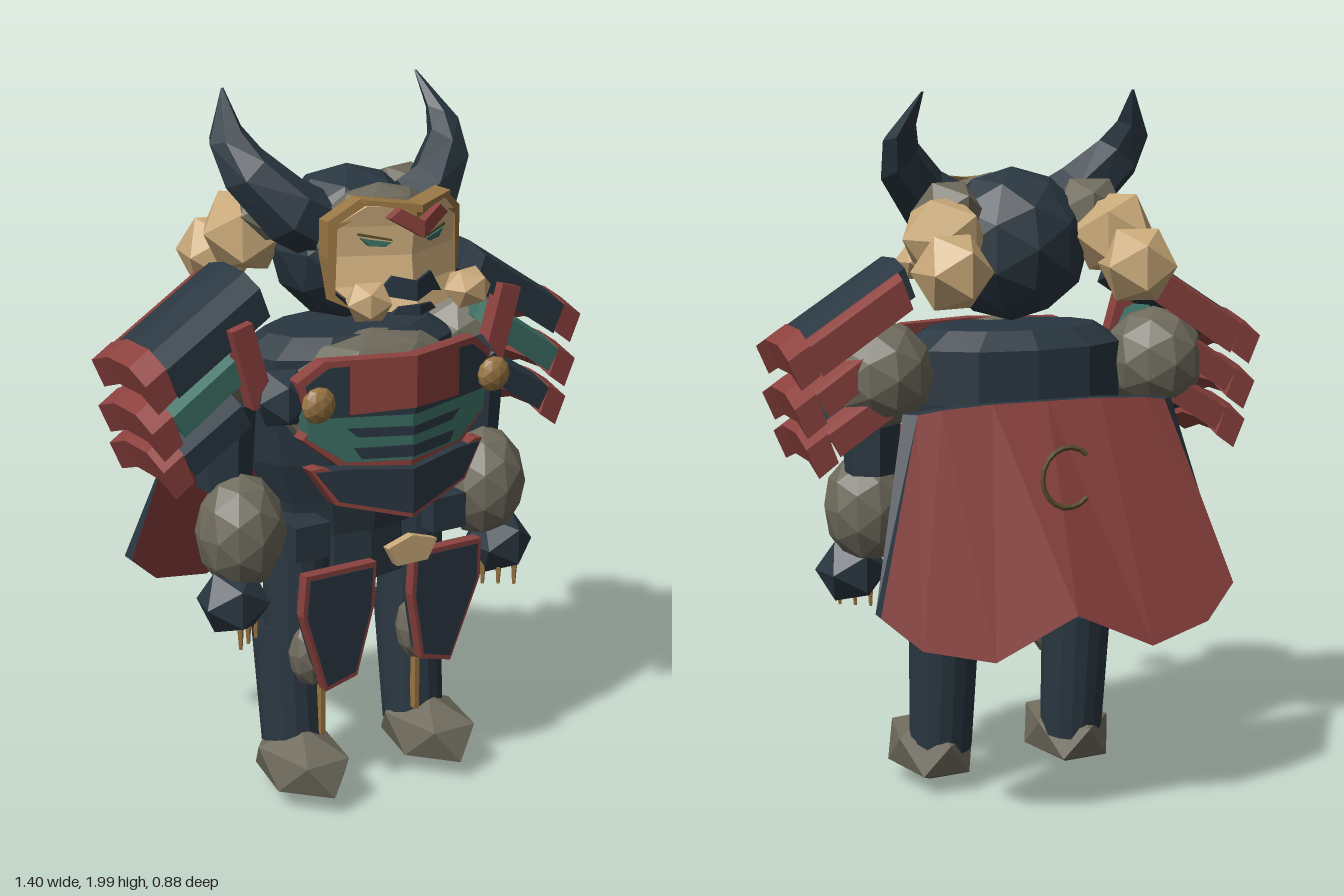
import * as THREE from 'three';

const mat = (name, color) => {
  const m = new THREE.MeshStandardMaterial({ color });
  m.name = name;
  return m;
};

// Makes a closed solid flat-shaded with its faces turned outward
function solid(geo) {
  const g = geo.index ? geo.toNonIndexed() : geo;
  g.deleteAttribute('uv');
  const p = g.attributes.position;
  const a = new THREE.Vector3(), b = new THREE.Vector3(), c = new THREE.Vector3();
  let volume = 0;
  for (let i = 0; i < p.count; i += 3) {
    a.fromBufferAttribute(p, i); b.fromBufferAttribute(p, i + 1); c.fromBufferAttribute(p, i + 2);
    volume += a.dot(b.cross(c));
  }
  if (volume < 0) {
    for (let i = 0; i < p.count; i += 3) {
      b.fromBufferAttribute(p, i + 1); c.fromBufferAttribute(p, i + 2);
      p.setXYZ(i + 1, c.x, c.y, c.z); p.setXYZ(i + 2, b.x, b.y, b.z);
    }
  }
  g.computeVertexNormals();
  return g;
}

// Joins equal-sided cross-sections; group 0 = even sides, group 1 = odd sides and ends
function loft(rings) {
  const n = rings[0].length, pos = [[], []];
  const tri = (k, ...v) => v.forEach(q => pos[k].push(...q));
  for (let i = 0; i + 1 < rings.length; i++) for (let j = 0; j < n; j++) {
    const r = rings[i], s = rings[i + 1], k = (j + 1) % n;
    tri(j % 2, r[j], r[k], s[k]);
    tri(j % 2, r[j], s[k], s[j]);
  }
  const first = rings[0], last = rings[rings.length - 1];
  for (let j = 1; j + 1 < n; j++) {
    tri(1, first[0], first[j + 1], first[j]);
    tri(1, last[0], last[j], last[j + 1]);
  }
  const g = new THREE.BufferGeometry();
  g.setAttribute('position', new THREE.Float32BufferAttribute([...pos[0], ...pos[1]], 3));
  g.addGroup(0, pos[0].length / 3, 0);
  g.addGroup(pos[0].length / 3, pos[1].length / 3, 1);
  return solid(g);
}

// Extruded outline swept back by slope * x and leaned by tilt * y; z is its front
function plate(points, z, depth, slope = 0, tilt = 0) {
  const shape = new THREE.Shape(points.map(q => new THREE.Vector2(...q)));
  const g = new THREE.ExtrudeGeometry(shape, { depth, bevelEnabled: false });
  g.clearGroups();
  const p = g.attributes.position;
  for (let i = 0; i < p.count; i++) {
    p.setZ(i, p.getZ(i) + z - depth - slope * p.getX(i) + tilt * p.getY(i));
  }
  return solid(g);
}

// Faceted ball; tip = -0.5536 stands it on a corner
const lump = (x, y, z, rx, ry, rz, detail = 0, turn = 0, tip = 0) => {
  const g = new THREE.IcosahedronGeometry(1, detail).rotateZ(tip);
  return solid(g.rotateY(turn).scale(rx, ry, rz).translate(x, y, z));
};
const box = (w, h, d, x, y, z, tilt = 0, lean = 0) =>
  solid(new THREE.BoxGeometry(w, h, d).rotateZ(tilt).rotateX(lean).translate(x, y, z));
const tube = (rt, rb, h, x, y, z, sides = 10, lean = 0) =>
  solid(new THREE.CylinderGeometry(rt, rb, h, sides).rotateX(lean).translate(x, y, z));

export function createModel() {
  const model = new THREE.Group();
  const dark = mat('dark armour', 0x2a3741), red = mat('red trim', 0x8c423e);
  const tan = mat('pale tan', 0xcaaa7a), gold = mat('old gold', 0x987543);
  const grey = mat('stone grey', 0x6e6a5c), green = mat('green lacquer', 0x3b6f63);
  const olive = mat('olive bronze', 0x5b4d2d), face = mat('mask tan', 0xd8b583);

  const add = (name, geo, material) => {
    const m = new THREE.Mesh(geo, material);
    m.name = name;
    model.add(m);
  };
  const both = (name, geo, material) => {
    add(name + 'Left', geo, material);
    const g = geo.clone().scale(-1, 1, 1);
    add(name + 'Right', solid(g), material);
  };

  // Head and helmet
  add('helmet', lump(0, 1.575, 0.03, 0.22, 0.215, 0.2, 1), dark);
  add('head', lump(0, 1.61, 0.19, 0.19, 0.155, 0.125, 1), grey);
  const horn = [[0.14, 1.65, 0.1, 0.095], [0.23, 1.70, 0.1, 0.09], [0.325, 1.81, 0.04, 0.072],
    [0.345, 1.89, -0.02, 0.052], [0.308, 2.0, -0.1, 0.004]];
  both('horn', loft(horn.map(([x, y, z, r], i) => Array.from({ length: 6 }, (_, j) => {
    const a = j / 6 * Math.PI * 2, t = 0.25 + i * 0.3;
    return [x - Math.cos(a) * r * Math.sin(t), y + Math.cos(a) * r * Math.cos(t), z + Math.sin(a) * r];
  }))), dark);

  // Hair bunches behind the horns
  both('hairRoot', lump(0.21, 1.67, -0.03, 0.105, 0.1, 0.11, 0, 0.3), grey);
  both('hairMiddle', lump(0.25, 1.61, -0.1, 0.12, 0.125, 0.14, 0, 0.6), tan);
  both('hairEnd', lump(0.27, 1.53, -0.22, 0.11, 0.115, 0.125, 0, 0.2), tan);

  // Mask, hollowed between brow and chin: height, half width and middle depth of each row
  const maskRows = [[1.735, 0.12, 0.375], [1.68, 0.195, 0.36], [1.6, 0.2, 0.35], [1.52, 0.195, 0.36],
    [1.455, 0.13, 0.385]];
  add('mask', loft(maskRows.map(([y, w, z]) => {
    const side = z - 0.45 * w, t = 0.025;
    return [[0, y, z], [w, y, side], [w, y, side - t], [0, y, z - t], [-w, y, side - t], [-w, y, side]];
  })), face);
  both('headband', plate([[0, 1.7], [0.11, 1.72], [0.185, 1.675], [0.19, 1.5], [0.15, 1.46], [0.19, 1.48],
    [0.207, 1.6], [0.207, 1.695], [0.13, 1.755], [0, 1.74]], 0.372, 0.045, 0.5), gold);
  both('browPeak', plate([[0, 1.72], [0.13, 1.745], [0.13, 1.755], [0, 1.74]], 0.4, 0.06, 0.5), gold);
  both('browMark', plate([[0, 1.655], [0.09, 1.71], [0.06, 1.735], [0, 1.7]], 0.41, 0.025, 0.3), red);
  both('eye', plate([[0.055, 1.636], [0.1, 1.643], [0.13, 1.65], [0.11, 1.628], [0.07, 1.625]],
    0.364, 0.009, 0.45), green);
  both('eyelid', plate([[0.055, 1.64], [0.135, 1.656], [0.135, 1.663], [0.055, 1.645]], 0.366, 0.009, 0.45), olive);
  both('moustache', plate([[0, 1.535], [0.06, 1.55], [0.11, 1.485], [0.07, 1.495], [0, 1.48]],
    0.379, 0.009, 0.45), dark);
  both('chinGuard', plate([[0, 1.475], [0.05, 1.47], [0.07, 1.45], [0, 1.445]], 0.394, 0.009, 0.45), dark);
  both('jawTuft', lump(0.155, 1.5, 0.385, 0.07, 0.06, 0.06, 0, 0.4), tan);

  // Torso
  const torso = [[0, 0.78], [0.24, 0.78], [0.265, 0.88], [0.31, 1.0], [0.33, 1.15], [0.33, 1.3], [0.25, 1.35],
    [0, 1.35]].map(q => new THREE.Vector2(...q));
  add('torso', solid(new THREE.LatheGeometry(torso, 12).scale(1, 1, 0.6).translate(0, 0, 0.03)), dark);
  add('skirt', solid(new THREE.CylinderGeometry(0.21, 0.22, 0.5, 12).scale(1, 1, 0.75)
    .translate(0, 0.88, 0)), dark);
  add('chest', lump(0, 1.18, 0.16, 0.3, 0.18, 0.165, 1), grey);
  both('chestSide', lump(0.31, 1.22, 0.2, 0.08, 0.09, 0.09, 0, 0.3), dark);

  // Layered breastplate
  both('upperChestPlate', plate([[0, 1.17], [0.27, 1.18], [0.29, 1.27], [0.23, 1.315], [0, 1.32]],
    0.375, 0.045, 0.28), dark);
  both('upperChestTrim', plate([[0, 1.19], [0.28, 1.178], [0.31, 1.28], [0.24, 1.333], [0, 1.333]],
    0.382, 0.045, 0.32), red);
  both('bellyPlate', plate([[0, 1.04], [0.18, 1.05], [0.28, 1.12], [0.29, 1.2], [0, 1.18]],
    0.365, 0.04, 0.26), green);
  both('bellySlotUpper', plate([[0, 1.11], [0.15, 1.118], [0.18, 1.145], [0, 1.135]], 0.371, 0.008, 0.26), dark);
  both('bellySlotLower', plate([[0, 1.05], [0.14, 1.057], [0.16, 1.088], [0, 1.083]], 0.371, 0.008, 0.26), dark);
  both('bellyTrim', plate([[0, 1.022], [0.2, 1.042], [0.295, 1.12], [0.28, 1.14], [0, 1.09]],
    0.359, 0.045, 0.26), red);
  both('lowerPlate', plate([[0, 0.888], [0.2, 0.942], [0.265, 1.03], [0.17, 1.032], [0, 1.015]],
    0.372, 0.05, 0.26), dark);
  both('lowerTrim', plate([[0, 0.875], [0.21, 0.932], [0.278, 1.035], [0.25, 1.04], [0, 0.96]],
    0.366, 0.045, 0.26), red);
  both('chestButton', lump(0.28, 1.23, 0.34, 0.05, 0.05, 0.03, 1), gold);

  // Belt and thigh guards
  both('beltPouch', box(0.11, 0.1, 0.2, 0.225, 0.8, 0.12), dark);
  add('buckle', plate([[-0.08, 0.8], [-0.05, 0.745], [0.05, 0.745], [0.08, 0.8], [0, 0.825]], 0.37, 0.025), tan);
  add('centreFlap', box(0.03, 0.2, 0.02, 0, 0.63, 0.14), dark);
  const guard = [[0.075, 0.72], [0.275, 0.72], [0.28, 0.61], [0.205, 0.385], [0.115, 0.41], [0.075, 0.6]];
  const guardTrim = guard.map(([x, y]) => [0.175 + (x - 0.175) * 1.12, 0.565 + (y - 0.565) * 1.09]);
  both('thighGuard', plate(guard, 0.232, 0.07, 0, 0.08), dark);
  both('thighGuardTrim', plate(guardTrim, 0.228, 0.035, 0, 0.08), red);

  // Legs and boots
  both('thigh', tube(0.095, 0.095, 0.35, 0.19, 0.64, 0.07, 16), dark);
  both('shin', tube(0.1, 0.09, 0.38, 0.205, 0.32, 0.055, 16, -0.1), dark);
  both('knee', lump(0.18, 0.45, 0.15, 0.08, 0.11, 0.065, 1), grey);
  both('shinStrip', box(0.015, 0.18, 0.025, 0.16, 0.28, 0.15), gold);
  both('boot', lump(0.215, 0.112, 0.135, 0.13, 0.104, 0.198, 0, 0.3, -0.5536), grey);

  // Arms, hands and claws
  both('shoulder', lump(0.41, 1.24, -0.035, 0.145, 0.15, 0.15, 1), grey);
  both('upperArm', tube(0.09, 0.075, 0.24, 0.41, 1.07, 0.06, 6), dark);
  both('forearm', lump(0.4, 0.84, 0.13, 0.125, 0.165, 0.125, 1), grey);
  both('hand', lump(0.44, 0.655, 0.155, 0.105, 0.1, 0.1, 0, 0.2), dark);
  for (let i = 0; i < 3; i++) {
    both('claw' + (i + 1), tube(0.013, 0.005, 0.11, 0.38 + i * 0.038, 0.593, 0.17 + i * 0.025, 5), gold);
  }
  both('shoulderStrap', box(0.065, 0.23, 0.05, 0.4, 1.32, 0.185, -0.28), red);

  // Three shoulder pad layers, arched across their width, with red lips and rear edges
  const padPart = (x0, y0, x1, y1, t, z0, z1 = 0.18) =>
    loft([0, 0.3, 0.7, 1].map(f => {
      const z = z0 + (z1 - z0) * f, rise = 0.035 * (1 - ((z - 0.025) / 0.155) ** 2);
      return [[x0, y0 + rise, z], [x1, y1 + rise, z], [x1 - 0.035, y1 + rise - t, z], [x0 - 0.03, y0 + rise - t, z]];
    }));
  [[0.36, 1.52, 0.7, 1.3, 0.08, -0.095, dark], [0.41, 1.355, 0.685, 1.17, 0.06, -0.075, green],
    [0.42, 1.21, 0.655, 1.06, 0.06, -0.075, dark]].forEach(([x0, y0, x1, y1, t, back, m], i) => {
    const xm = x1 - 0.06, ym = y1 + 0.04;
    both('shoulderPad' + (i + 1), padPart(x0, y0, xm, ym, t, back), m);
    both('shoulderPadLip' + (i + 1), padPart(xm, ym + 0.005, x1, y1 + 0.005, 0.08, -0.135), red);
    both('shoulderPadEdge' + (i + 1), padPart(x0 + 0.02, y0 - 0.012, xm, ym, t, -0.135, back), red);
  });

  // Flared cape with a scalloped hem and dark edges, and its crescent
  const half = [[0.365, 1.15, -0.205, 0.52, 0.64, -0.34], [0.3, 1.16, -0.215, 0.42, 0.55, -0.385],
    [0.16, 1.17, -0.228, 0.23, 0.51, -0.43]];
  const flip = half.map(([a, b, c, d, e, f]) => [-a, b, c, -d, e, f]).reverse();
  const capeColumns = [...half, [0, 1.17, -0.23, 0, 0.62, -0.445], ...flip];
  add('cape', loft(capeColumns.map(([tx, ty, tz, bx, by, bz]) =>
    [[tx, ty, tz], [bx, by, bz], [bx, by, bz + 0.045], [tx * 1.09, ty, tz + 0.03]])), [red, dark]);
  const crescent = new THREE.TorusGeometry(0.075, 0.007, 4, 14, Math.PI * 1.5);
  add('capeCrescent', solid(crescent.rotateZ(-Math.PI * 0.75).scale(1, 1.1, 0.5).translate(0, 0.985, -0.377)), olive);

  return model;
}
